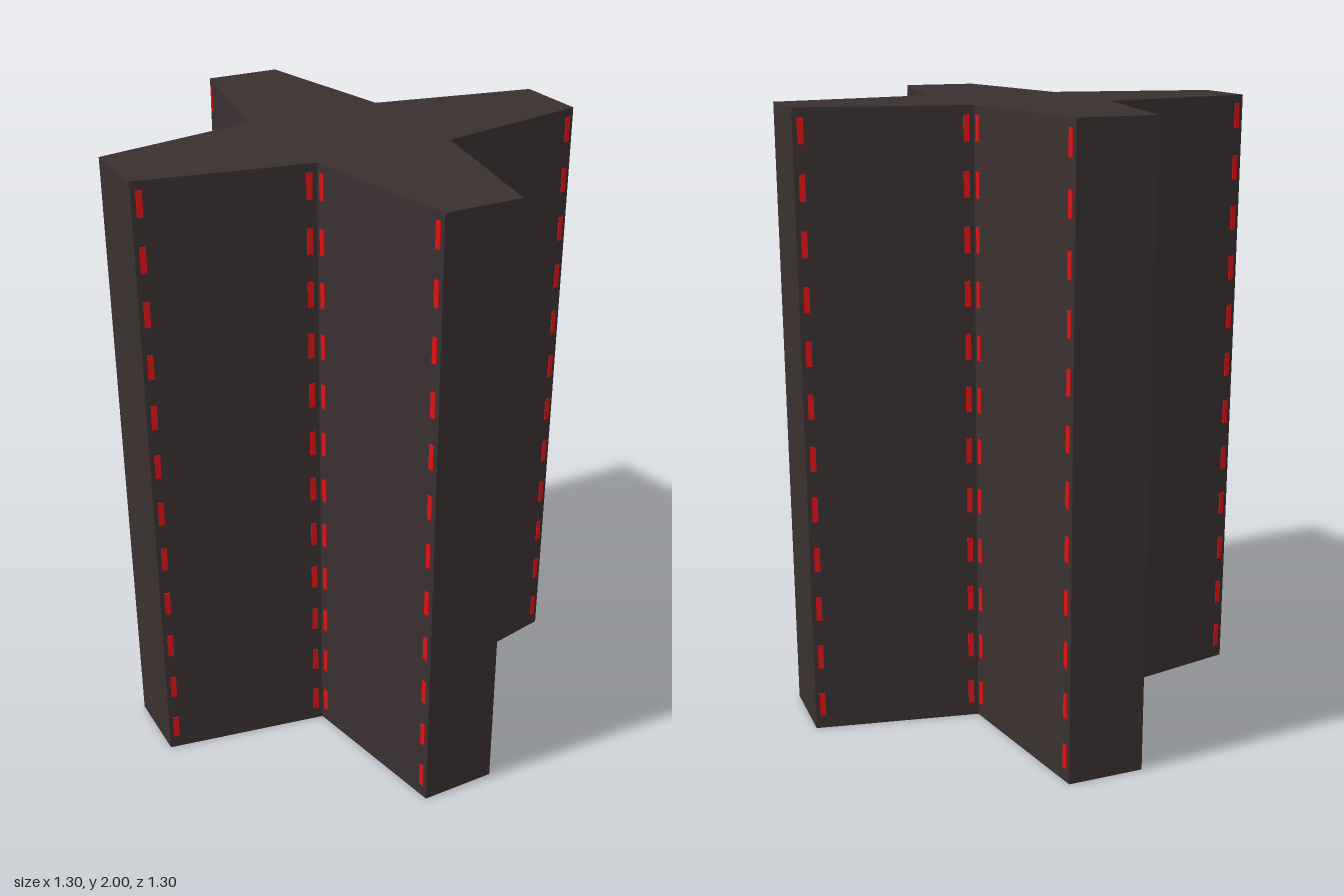
import * as THREE from 'three';

const HEIGHT = 2;
const DASHES = 12;

// Outline of one arm as [x, z]: outer corners, then the notch to the next arm.
const ARM = [[0.65, 0.395], [0.49, 0.58], [0.025, 0.316]];

// Four-armed outline made by quarter turns of one arm.
function starOutline() {
  const points = [];
  for (let k = 0; k < 4; k++) {
    for (const [px, pz] of ARM) {
      let x = px, z = pz;
      for (let r = 0; r < k; r++) [x, z] = [-z, x];
      points.push(new THREE.Vector2(x, z));
    }
  }
  return points;
}

export function createModel() {
  const group = new THREE.Group();
  const body = new THREE.MeshStandardMaterial({ color: 0x3a3030, side: THREE.DoubleSide });
  body.name = 'dark brown';
  const red = new THREE.MeshStandardMaterial({ color: 0xe01212 });
  red.name = 'red';

  const outline = starOutline();

  // Top cap; the underside is open.
  const cap = new THREE.Mesh(
    new THREE.ShapeGeometry(new THREE.Shape(outline.map(p => new THREE.Vector2(p.x, -p.y)))), body);
  cap.geometry.rotateX(-Math.PI / 2);
  cap.position.y = HEIGHT;
  cap.name = 'topCap';
  group.add(cap);

  const dashGeometry = new THREE.BoxGeometry(0.018, 0.08, 0.006);

  outline.forEach((a, i) => {
    const b = outline[(i + 1) % outline.length];
    const length = a.distanceTo(b);
    const isTip = i % 3 === 0;

    // Each wall is a group whose +z points outwards.
    const side = new THREE.Group();
    side.name = isTip ? 'armTip' : 'armSide';
    side.position.set((a.x + b.x) / 2, HEIGHT / 2, (a.y + b.y) / 2);
    side.rotation.y = Math.atan2(b.y - a.y, -(b.x - a.x));
    group.add(side);

    const wall = new THREE.Mesh(new THREE.PlaneGeometry(length, HEIGHT), body);
    wall.name = 'wall';
    side.add(wall);
    if (isTip) return;

    // Dashed red stitching near both upright edges, showing inside and out.
    for (const s of [-1, 1]) {
      for (let k = 0; k < DASHES; k++) {
        const dash = new THREE.Mesh(dashGeometry, red);
        dash.name = 'redDash';
        dash.position.set(s * (length / 2 - 0.023), 0.085 + k * 0.168 - HEIGHT / 2, 0);
        side.add(dash);
      }
    }
  });

  return group;
}
